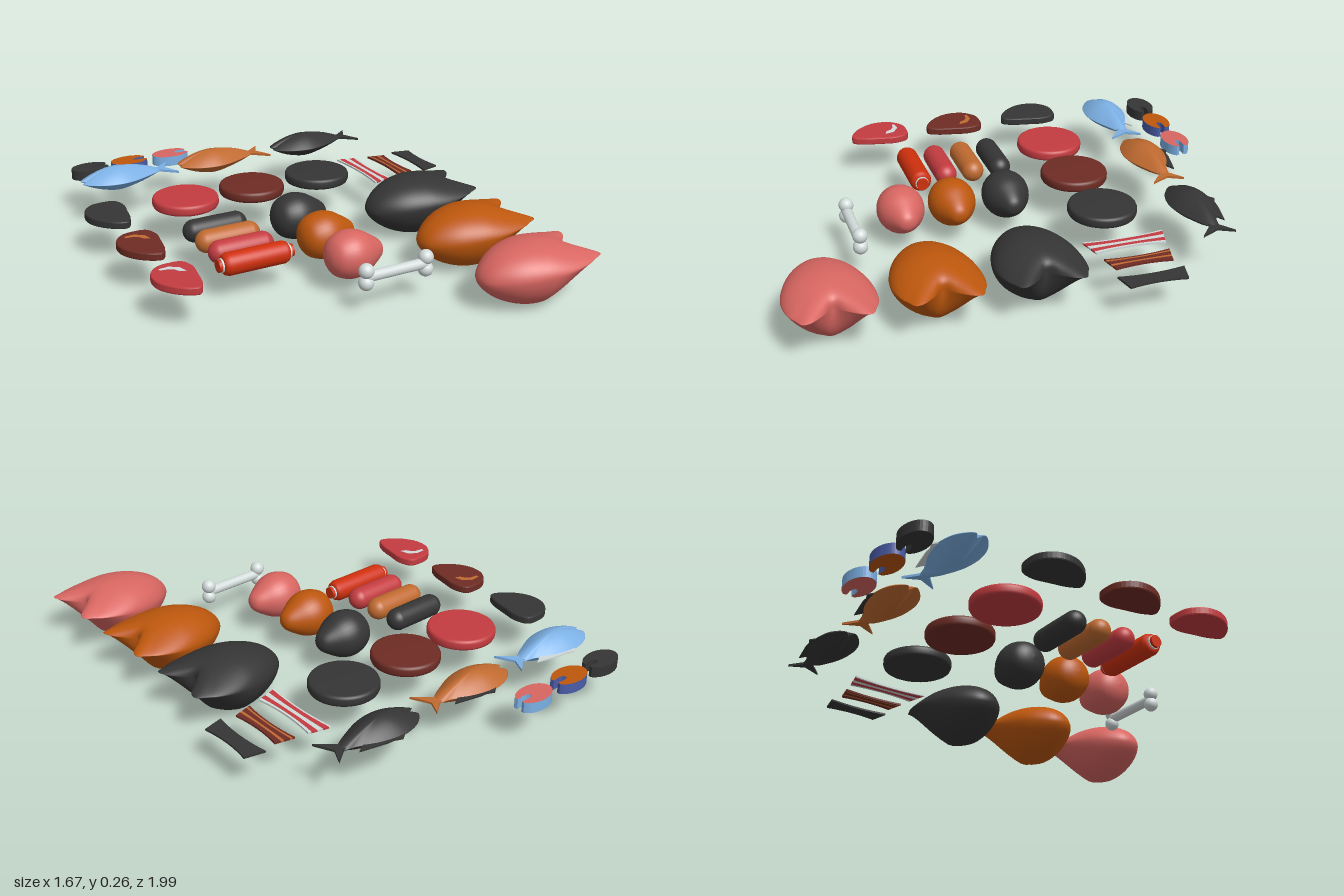
import * as THREE from 'three';
import { mergeVertices } from 'three/addons/utils/BufferGeometryUtils.js';

const mat = (name, color) => Object.assign(new THREE.MeshStandardMaterial({ color }), { name });
const M = {
  charcoal: mat('charcoal', 0x353535),
  roast: mat('roastOrange', 0xbd570d),
  pink: mat('rawPink', 0xd86661),
  blue: mat('fishBlue', 0x7cb0e4),
  tan: mat('cookedTan', 0xc06a30),
  red: mat('rawRed', 0xc43c40),
  brown: mat('cookedBrown', 0x6e2c24),
  pale: mat('palebone', 0xd2dada),
  wrap: mat('wrapperRed', 0xcf300d),
  skin: mat('cookedSkinBlue', 0x4a5ca8),
};

function add(parent, name, geo, material, x = 0, y = 0, z = 0) {
  const m = new THREE.Mesh(geo, material);
  m.name = name;
  m.position.set(x, y, z);
  parent.add(m);
  return m;
}

function group(parent, name, x, y, z) {
  const g = new THREE.Group();
  g.name = name;
  g.position.set(x, y, z);
  parent.add(g);
  return g;
}

const spline = (pts, n) =>
  new THREE.CatmullRomCurve3(pts.map(([x, z]) => new THREE.Vector3(x, 0, z)), true)
    .getPoints(n).slice(0, n).map((p) => [p.x, p.z]);

// Flat plate whose outline is given in x, z and which rises from y = 0
function plate(pts, height, bevel = 0) {
  const shape = new THREE.Shape(pts.map(([x, z]) => new THREE.Vector2(x, -z)));
  const geo = new THREE.ExtrudeGeometry(shape, {
    depth: height - 2 * bevel, bevelEnabled: bevel > 0, bevelThickness: bevel,
    bevelSize: bevel, bevelOffset: -bevel, bevelSegments: 2,
  });
  return geo.rotateX(-Math.PI / 2).translate(0, bevel, 0);
}

// Rounded body: rings of one outline shrinking to a top and a bottom pole
function pillow(outline, rings, height, inner) {
  const n = outline.length, pos = [], idx = [];
  for (let j = 0; j <= rings; j++) {
    const phi = (j / rings) * Math.PI;
    const s = j === 0 || j === rings ? 0 : Math.sin(phi);
    for (const [ox, oz] of outline) {
      let x = ox, z = oz;
      if (inner) {
        const a = Math.atan2(oz / inner[1], ox / inner[0]);
        x += (inner[0] * Math.cos(a) - ox) * (1 - s * s);
        z += (inner[1] * Math.sin(a) - oz) * (1 - s * s);
      }
      pos.push(x * s, height(Math.cos(phi), x * s, ox, s), z * s);
    }
  }
  for (let j = 0; j < rings; j++) {
    for (let i = 0; i < n; i++) {
      const a = j * n + i, b = j * n + ((i + 1) % n), c = a + n, d = b + n;
      if (j < rings - 1) idx.push(a, d, c);
      if (j > 0) idx.push(a, b, d);
    }
  }
  let geo = new THREE.BufferGeometry();
  geo.setAttribute('position', new THREE.Float32BufferAttribute(pos, 3));
  geo.setIndex(idx);
  geo = mergeVertices(geo, 1e-5);
  geo.computeVertexNormals();
  return geo;
}

// Turned solid along x, from [x, radius] points
const turnedX = (pts) =>
  new THREE.LatheGeometry(pts.map(([x, r]) => new THREE.Vector2(r, x)), 32).rotateZ(-Math.PI / 2);

export function createModel() {
  const root = new THREE.Group();
  root.name = 'meatSet';

  // Whole birds with two legs and a notch between them
  const half = [[0.19, 0.045], [0.233, 0.095], [0.238, 0.127], [0.196, 0.148], [0.159, 0.164], [0.069, 0.177],
    [-0.026, 0.167], [-0.132, 0.13], [-0.2, 0.082], [-0.238, 0.032]];
  const birdOutline = spline([[0.143, 0], ...half, ...half.map(([x, z]) => [x, -z]).reverse()], 80);
  const bird = pillow(birdOutline, 28, (c, x, ox) => {
    const eq = 0.165 + 0.13 * x;
    const power = c > 0 ? 1.1 + 0.6 * Math.max(0, ox / 0.24) : 1.2 + 1.5 * Math.max(0, ox / 0.24);
    const h = Math.pow(Math.abs(c), power);
    return eq + (c > 0 ? (0.257 - eq) : -eq) * h;
  }, [0.23, 0.17]);
  [['burnt', M.charcoal, 0], ['cooked', M.roast, 0.405], ['raw', M.pink, 0.815]].forEach(([n, m, z]) =>
    add(root, n + 'WholeBird', bird, m, 0.53, 0, z));

  // Drumstick meat
  const drumProfile = new THREE.SplineCurve([[-0.145, 0], [-0.137, 0.042], [-0.108, 0.08], [-0.05, 0.1], [0.005, 0.092],
    [0.055, 0.064], [0.092, 0.037], [0.104, 0.016], [0.106, 0]].map(([x, r]) => new THREE.Vector2(x, r)))
    .getPoints(32).map((p) => [p.x, Math.max(0, p.y)]);
  const drum = turnedX(drumProfile);
  [['burnt', M.charcoal, -0.067], ['cooked', M.roast, 0.17], ['raw', M.pink, 0.392]].forEach(([n, m, z]) =>
    add(root, n + 'Drumstick', drum, m, 0, 0.155, z));

  // Bone with two knobs at each end
  const bone = group(root, 'bone', 0.04, 0.155, 0.61);
  add(bone, 'boneShaft', new THREE.CylinderGeometry(0.022, 0.022, 0.27, 24).rotateZ(Math.PI / 2), M.pale);
  for (const sx of [-1, 1]) for (const sy of [-1, 1])
    add(bone, 'boneKnob', new THREE.SphereGeometry(0.031, 20, 14), M.pale, sx * 0.136, sy * 0.025, 0);

  // Sausages
  const sausagePts = [];
  for (let i = 0; i <= 20; i++) {
    const a = ((i % 21) / 20) * Math.PI;
    const c = Math.cos(a);
    sausagePts.push([-Math.sign(c) * (i === 10 ? 0 : 0.093) - 0.05 * c, i % 20 ? 0.049 * Math.sin(a) : 0]);
  }
  const sausage = turnedX(sausagePts);
  [['burnt', M.charcoal, -0.122], ['cooked', M.tan, 0.002], ['raw', M.red, 0.125]].forEach(([n, m, z]) =>
    add(root, n + 'Sausage', sausage, m, -0.388, 0.155, z));

  // Wrapped sausage with clips and gathered ends
  const wrapped = group(root, 'wrappedSausage', -0.386, 0.155, 0.246);
  add(wrapped, 'wrapper', turnedX([[-0.145, 0], [-0.145, 0.03], [-0.138, 0.041], [-0.122, 0.047], [0.122, 0.047],
    [0.138, 0.041], [0.145, 0.03], [0.145, 0]]), M.wrap);
  for (const s of [-1, 1]) {
    add(wrapped, 'clip', new THREE.CylinderGeometry(0.029, 0.029, 0.008, 24).rotateZ(Math.PI / 2), M.pale, s * 0.148, 0, 0);
    add(wrapped, 'wrapperEnd', new THREE.CylinderGeometry(0.026, 0.026, 0.013, 24).rotateZ(Math.PI / 2), M.wrap, s * 0.158, 0, 0);
  }

  // Round patties
  const patty = new THREE.LatheGeometry([[0, 0], [0.132, 0], [0.14, 0.004], [0.144, 0.013], [0.144, 0.033],
    [0.14, 0.042], [0.132, 0.046], [0, 0.046]].map(([r, y]) => new THREE.Vector2(r, y)), 48);
  [['raw', M.red, -0.4], ['cooked', M.brown, -0.08], ['burnt', M.charcoal, 0.251]].forEach(([n, m, x]) =>
    add(root, n + 'Patty', patty, m, x, 0.158, -0.394));

  // Steaks with a fat mark on top
  const steakGeo = plate(spline([[-0.037, -0.122], [0.016, -0.132], [0.069, -0.122], [0.09, -0.063], [0.079, 0.011],
    [0.063, 0.085], [0.037, 0.127], [-0.005, 0.116], [-0.058, 0.069], [-0.09, 0.005], [-0.085, -0.069]], 48), 0.034, 0.006);
  const fatGeo = plate([[-0.042, -0.088], [0, -0.092], [0.037, -0.066], [0.047, -0.026], [0.022, -0.036],
    [0.01, -0.06], [-0.01, -0.072], [-0.042, -0.076]], 0.002);
  [['burnt', M.charcoal, null, -0.397], ['cooked', M.brown, M.tan, -0.032], ['raw', M.red, M.pale, 0.323]]
    .forEach(([n, m, fat, z]) => {
      const g = group(root, n + 'Steak', -0.749, 0.157, z);
      add(g, 'steakMeat', steakGeo, m);
      if (fat) add(g, 'steakFat', fatGeo, fat, 0, 0.0335, 0);
    });

  // Bacon strips, pinched in the middle and split lengthwise into bands
  const bacon = (name, x, w, len, bands) => {
    const g = group(root, name, x, 0.154, -0.397);
    const at = (u, v) => [w * (u - 0.5) * (1 - 0.28 * (1 - v * v)), len * v * (1 - 0.14 * u)];
    let u0 = 0;
    for (const [m, width] of bands) {
      const pts = [];
      for (let i = 0; i <= 8; i++) pts.push(at(u0, i / 4 - 1));
      for (let i = 8; i >= 0; i--) pts.push(at(u0 + width, i / 4 - 1));
      add(g, 'baconBand', plate(pts, 0.008), m);
      u0 += width;
    }
  };
  bacon('rawBacon', 0.51, 0.093, 0.172,
    [[M.pale, 0.1], [M.red, 0.27], [M.pale, 0.24], [M.red, 0.25], [M.pale, 0.14]]);
  bacon('cookedBacon', 0.651, 0.08, 0.138,
    [[M.brown, 0.12], [M.tan, 0.12], [M.brown, 0.3], [M.tan, 0.16], [M.brown, 0.3]]);
  bacon('burntBacon', 0.79, 0.085, 0.138, [[M.charcoal, 1]]);

  // Fish lying on their sides
  const fishBody = pillow(spline([[0.21, -0.005], [0.195, 0.016], [0.127, 0.053], [0.048, 0.085], [-0.016, 0.095],
    [-0.095, 0.079], [-0.159, 0.037], [-0.172, 0.016], [-0.143, 0.003], [-0.169, -0.019], [-0.122, -0.069],
    [-0.032, -0.093], [0.074, -0.074], [0.153, -0.037], [0.2, -0.024]], 72), 20,
  (c, x, ox, s) => Math.sign(c) * 0.055 * (1 - Math.pow(s, 1.8)));
  const tail = plate([[0.17, -0.024], [0.2, -0.024], [0.26, -0.069], [0.228, -0.005], [0.265, 0.074], [0.195, 0.014], [0.17, 0.02]], 0.01);
  const fin = plate([[-0.05, -0.08], [-0.012, -0.108], [0.02, -0.094], [0.05, -0.092], [0.164, -0.066], [0.12, -0.04], [0, -0.07]], 0.006);
  [['raw', M.blue, M.pale, -0.574], ['cooked', M.tan, M.charcoal, -0.108], ['burnt', M.charcoal, M.charcoal, 0.373]]
    .forEach(([n, m, finMat, x]) => {
      const g = group(root, n + 'Fish', x, 0.207, -0.741);
      add(g, 'fishBody', fishBody, m);
      add(g, 'fishTail', tail, m, 0, -0.005, 0);
      add(g, 'fishFin', fin, finMat, 0, -0.003, 0);
      for (const s of [-1, 1]) {
        const eye = add(g, 'fishEye', new THREE.SphereGeometry(0.01, 12, 8), M.charcoal, -0.113, s * 0.017, -0.026);
        eye.scale.y = 0.6;
      }
    });

  // Fish cutlets with a slot on one side, skin around the edge
  const cut = [];
  for (let i = 0; i <= 32; i++) {
    const a = 0.42 + (i / 32) * (2 * Math.PI - 0.84);
    cut.push([0.088 * Math.cos(a), 0.056 * Math.sin(a)]);
  }
  cut.push([0.078, -0.01], [0.05, -0.013], [0.028, -0.011], [0.018, 0], [0.028, 0.011], [0.05, 0.013], [0.078, 0.01]);
  const cutlet = plate(cut, 0.045);
  [['burnt', M.charcoal, M.charcoal, -0.632], ['cooked', M.roast, M.skin, -0.441], ['raw', M.pink, M.blue, -0.235]]
    .forEach(([n, flesh, skin, x]) => add(root, n + 'FishCutlet', cutlet, [flesh, skin], x, 0.156, -0.944));

  return root;
}
